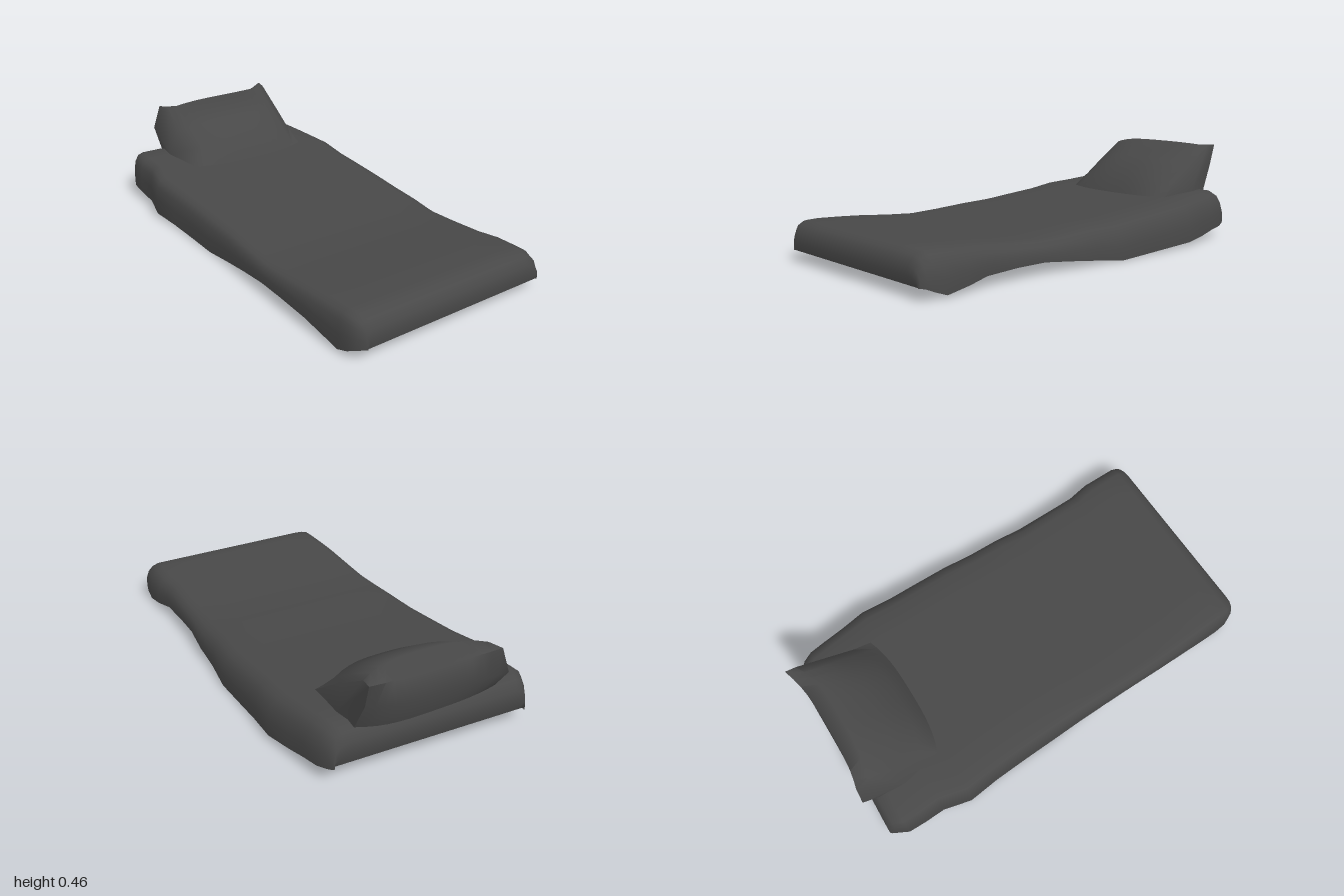
import * as THREE from 'three';
import { toCreasedNormals } from 'three/addons/utils/BufferGeometryUtils.js';

// Skin a grid of points; rows run back to front, columns run from -x to +x.
function skin(rows, crease) {
  const n = rows[0].length, index = [];
  for (let i = 0; i < rows.length - 1; i++) {
    for (let j = 0; j < n - 1; j++) {
      const a = i * n + j, b = a + n;
      index.push(a, b, a + 1, a + 1, b, b + 1);
    }
  }
  const geo = new THREE.BufferGeometry();
  geo.setAttribute('position', new THREE.Float32BufferAttribute(rows.flat(2), 3));
  geo.setIndex(index);
  return toCreasedNormals(geo, crease);
}

const lerp = THREE.MathUtils.lerp;

// Draped cover stations: z, right edge, left edge, top, hem, end height factor
const STATIONS = [
  [-0.94, -0.475, 0.42, 0.22, 0.075, 0],
  [-0.955, -0.475, 0.42, 0.22, 0.075, 0.35],
  [-0.95, -0.478, 0.425, 0.222, 0.07, 0.7],
  [-0.925, -0.49, 0.44, 0.226, 0.065, 0.92],
  [-0.88, -0.512, 0.46, 0.229, 0.058, 1],
  [-0.8, -0.512, 0.475, 0.225, 0.05, 1],
  [-0.7, -0.505, 0.492, 0.22, 0.033, 1],
  [-0.57, -0.535, 0.52, 0.208, 0.024, 1],
  [-0.42, -0.515, 0.517, 0.192, 0.016, 1],
  [-0.25, -0.503, 0.522, 0.18, 0.01, 1],
  [-0.1, -0.495, 0.526, 0.168, 0.005, 1],
  [0.05, -0.49, 0.515, 0.163, 0.024, 1],
  [0.2, -0.488, 0.515, 0.153, 0.043, 1],
  [0.35, -0.487, 0.503, 0.145, 0.058, 1],
  [0.5, -0.485, 0.505, 0.155, 0.058, 1],
  [0.66, -0.48, 0.508, 0.17, 0.05, 1],
  [0.76, -0.475, 0.53, 0.177, 0.035, 1],
  [0.87, -0.468, 0.533, 0.183, 0.015, 1],
  [0.925, -0.463, 0.532, 0.185, 0.035, 0.98],
  [0.96, -0.445, 0.525, 0.185, 0.05, 0.87],
  [0.982, -0.42, 0.515, 0.185, 0.055, 0.62],
  [0.988, -0.41, 0.51, 0.18, 0.055, 0.3],
  [0.982, -0.41, 0.51, 0.18, 0.055, 0],
];
// Half cross-sections: width fraction, height fraction; the right side is squarer
const LEFT_DRAPE = [[1, 0], [1, 0.38], [0.97, 0.7], [0.92, 0.91], [0.85, 1], [0.6, 1], [0.3, 1]];
const RIGHT_DRAPE = [[1, 0], [1, 0.42], [0.985, 0.75], [0.95, 0.94], [0.89, 1], [0.6, 1], [0.3, 1]];

function coverGeometry() {
  const section = [
    ...RIGHT_DRAPE.map(([f, k]) => [-f, k]),
    [0, 1],
    ...[...LEFT_DRAPE].reverse(),
  ];
  // Both ends run slightly askew, shorter on the left
  const rows = STATIONS.map(([z, right, left, top, hem, end]) =>
    section.map(([f, k]) => [
      lerp(right, left, (f + 1) / 2),
      lerp(hem, top, k * end),
      z * (1 - 0.013 * f),
    ]));
  return skin(rows, 1.1);
}

// Pillow outline from back to front: [middle y, z], [right x, y, z], [left x, y, z]
const PILLOW = [
  [[0.19, -0.935], [-0.335, 0.215, -0.925], [0.32, 0.215, -0.91]],
  [[0.3, -0.97], [-0.34, 0.315, -0.995], [0.312, 0.34, -0.97]],
  [[0.41, -0.96], [-0.305, 0.43, -0.985], [0.315, 0.448, -1.0]],
  [[0.46, -0.89], [-0.285, 0.43, -0.92], [0.31, 0.445, -0.95]],
  [[0.385, -0.74], [-0.295, 0.345, -0.8], [0.31, 0.35, -0.8]],
  [[0.315, -0.63], [-0.28, 0.275, -0.68], [0.312, 0.275, -0.69]],
  [[0.209, -0.565], [-0.3, 0.213, -0.605], [0.325, 0.213, -0.605]],
];

function pillowGeometry() {
  const steps = 14;
  const rows = PILLOW.map(([[ym, zm], right, left]) => {
    const row = [];
    for (let j = 0; j <= steps; j++) {
      const s = (j / steps) * 2 - 1, t = Math.abs(s) ** 3;
      const [, ys, zs] = s < 0 ? right : left;
      row.push([lerp(right[0], left[0], j / steps), lerp(ym, ys, t), lerp(zm, zs, t)]);
    }
    // Gather each side down to a point on the cover
    return [[-0.345, 0.225, -0.8], ...row, [0.335, 0.225, -0.8]];
  });
  return skin(rows, 1.1);
}

export function createModel() {
  const model = new THREE.Group();
  model.name = 'bedding';

  const fabric = new THREE.MeshStandardMaterial({ color: 0x484848, side: THREE.DoubleSide });
  fabric.name = 'charcoal fabric';

  const cover = new THREE.Mesh(coverGeometry(), fabric);
  cover.name = 'drapedCover';
  const pillow = new THREE.Mesh(pillowGeometry(), fabric);
  pillow.name = 'pillow';

  model.add(cover, pillow);
  return model;
}
